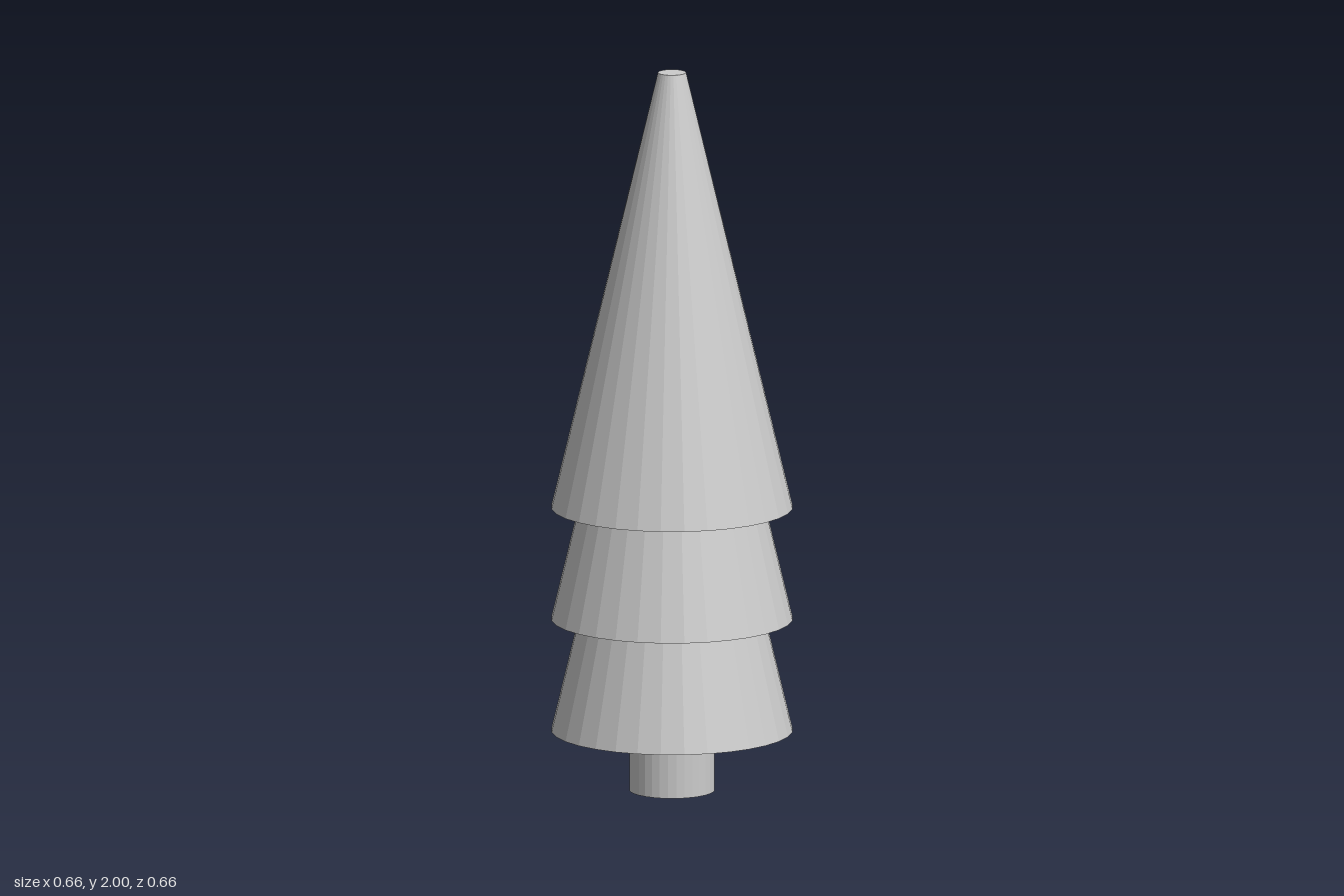
import * as THREE from 'three';

const SIDES = 32;

export function createModel() {
  const tree = new THREE.Group();
  tree.name = 'tree';
  const material = new THREE.MeshStandardMaterial({ color: 0xcccccc, flatShading: true });

  // Adds an upright, capped round part standing on height y
  const addRound = (name, topRadius, bottomRadius, height, y) => {
    const geometry = new THREE.CylinderGeometry(topRadius, bottomRadius, height, SIDES);
    geometry.translate(0, y + height / 2, 0);
    const mesh = new THREE.Mesh(geometry, material);
    mesh.name = name;
    tree.add(mesh);
  };

  // Trunk, reaching slightly into the lowest tier
  addRound('trunk', 0.117, 0.117, 0.2, 0);

  // Three identical tapered tiers, nested one above the other
  const tierHeight = 1.211;
  ['lowerFoliage', 'middleFoliage', 'upperFoliage'].forEach((name, i) => {
    addRound(name, 0.0385, 0.33, tierHeight, 0.167 + i * 0.311);
  });

  return tree;
}
